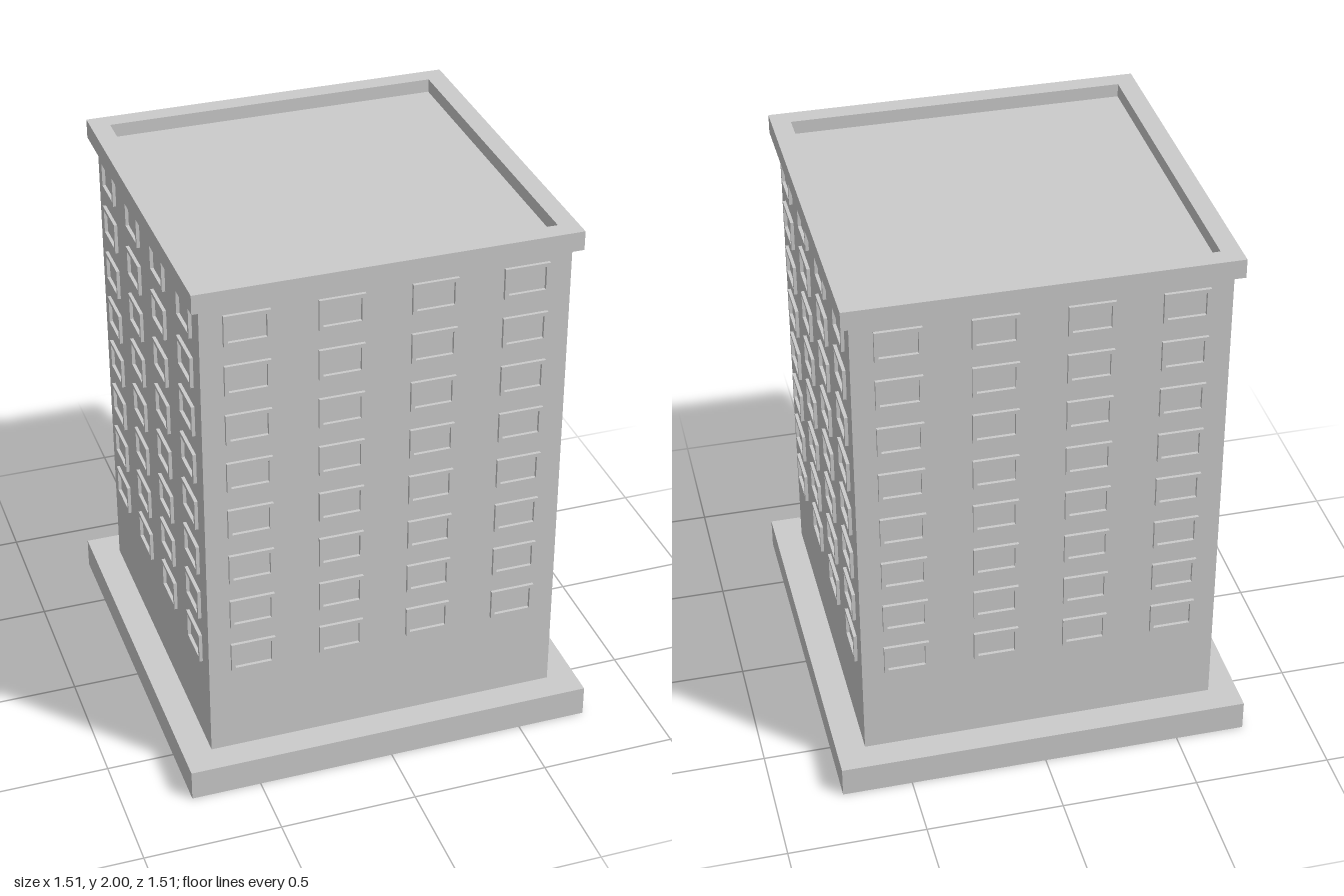
import * as THREE from 'three';

const material = new THREE.MeshStandardMaterial({ color: 0xcccccc, flatShading: true });

// Rectangular ring in the XY plane, extruded along +z
function ringGeometry(outerW, outerH, innerW, innerH, depth) {
  const rect = (target, w, h) => target
    .moveTo(-w / 2, -h / 2).lineTo(w / 2, -h / 2)
    .lineTo(w / 2, h / 2).lineTo(-w / 2, h / 2).closePath();
  const shape = rect(new THREE.Shape(), outerW, outerH);
  shape.holes.push(rect(new THREE.Path(), innerW, innerH));
  return new THREE.ExtrudeGeometry(shape, { depth, bevelEnabled: false });
}

function addMesh(parent, name, geometry, x = 0, y = 0, z = 0) {
  const mesh = new THREE.Mesh(geometry, material);
  mesh.name = name;
  mesh.position.set(x, y, z);
  parent.add(mesh);
  return mesh;
}

export function createModel() {
  const building = new THREE.Group();
  building.name = 'apartmentBlock';

  const wall = 0.65;       // half width of the tower
  const plinthTop = 0.115;
  const roofTop = 1.95;

  // Plinth and tower; the tower's top is the sunken roof deck
  addMesh(building, 'plinth', new THREE.BoxGeometry(1.51, plinthTop, 1.51), 0, plinthTop / 2);
  addMesh(building, 'tower', new THREE.BoxGeometry(wall * 2, roofTop - plinthTop, wall * 2),
    0, (roofTop + plinthTop) / 2);

  // Overhanging parapet around the roof
  const parapet = ringGeometry(1.36, 1.36, 1.22, 1.22, 0.07).rotateX(-Math.PI / 2);
  addMesh(building, 'parapet', parapet, 0, 1.93);

  // Raised window frames, four columns by eight rows on each facade
  const frame = ringGeometry(0.162, 0.114, 0.134, 0.086, 0.012);
  const sides = ['front', 'left', 'back', 'right'];
  sides.forEach((side, i) => {
    const facade = new THREE.Group();
    facade.name = side + 'Windows';
    facade.rotation.y = i * Math.PI / 2;
    for (let row = 0; row < 8; row++) {
      for (let col = 0; col < 4; col++) {
        addMesh(facade, 'windowFrame', frame, (col - 1.5) * 0.326, 0.512 + row * 0.189, wall);
      }
    }
    building.add(facade);
  });

  return building;
}
